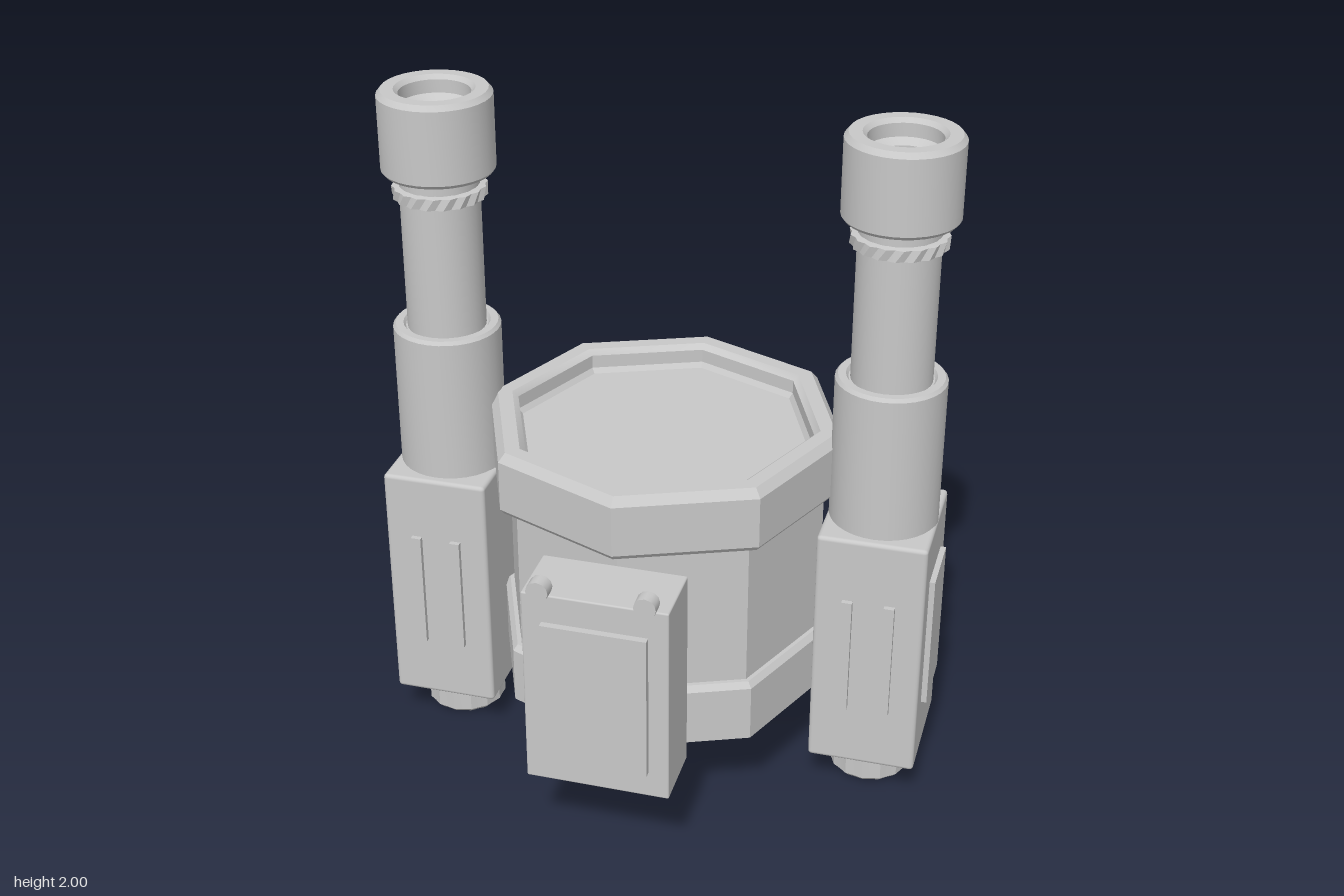
import * as THREE from 'three';
import { toCreasedNormals } from 'three/addons/utils/BufferGeometryUtils.js';
import { RoundedBoxGeometry } from 'three/addons/geometries/RoundedBoxGeometry.js';

const grey = new THREE.MeshStandardMaterial({ color: 0xc8c8c8 });

function add(parent, name, geometry, x = 0, y = 0, z = 0) {
  const mesh = new THREE.Mesh(geometry, grey);
  mesh.name = name;
  mesh.position.set(x, y, z);
  parent.add(mesh);
  return mesh;
}

// Turned solid from [radius, y] pairs, listed bottom centre, outside, top centre
function turned(profile, sides) {
  const points = profile.map(([r, y]) => new THREE.Vector2(r, y));
  return toCreasedNormals(new THREE.LatheGeometry(points, sides), Math.PI / 6);
}

// Turned solid with alternating flutes, optionally twisted with height
function fluted(profile, sides, depth, twist = 0) {
  const geometry = new THREE.LatheGeometry(profile.map(([r, y]) => new THREE.Vector2(r, y)), sides);
  const p = geometry.attributes.position;
  for (let i = 0; i < p.count; i++) {
    const step = Math.floor(i / profile.length);
    const r = Math.hypot(p.getX(i), p.getZ(i)) * (step % 2 ? 1 - depth : 1);
    const a = (step / sides) * Math.PI * 2 + twist * p.getY(i);
    p.setXYZ(i, Math.sin(a) * r, p.getY(i), Math.cos(a) * r);
  }
  return toCreasedNormals(geometry, Math.PI / 6);
}

// Box given by its lower and upper y
function block(w, y0, y1, d) {
  return new THREE.BoxGeometry(w, y1 - y0, d).translate(0, (y0 + y1) / 2, 0);
}

// Octagonal drum with a base band and a dished top rim
function createDrum() {
  const drum = new THREE.Group();
  drum.name = 'drum';
  add(drum, 'baseBand', turned([[0, 0.275], [0.5, 0.275], [0.5, 0.445], [0.485, 0.462], [0.46, 0.462]], 8));
  add(drum, 'drumWall', turned([[0.472, 0.45], [0.472, 0.92]], 8));
  add(drum, 'topRim', turned([
    [0.46, 0.91], [0.51, 0.91], [0.522, 0.925], [0.522, 1.075], [0.5, 1.1],
    [0.455, 1.1], [0.437, 1.085], [0.437, 1.045], [0.425, 1.03], [0, 1.03],
  ], 8));
  return drum;
}

// Telescopic post with housing, foot and open collar
function createPost() {
  const post = new THREE.Group();
  post.name = 'post';
  add(post, 'housing', new RoundedBoxGeometry(0.312, 0.75, 0.36, 2, 0.012), 0, 0.492, 0);
  add(post, 'foot', fluted([[0, 0], [0.105, 0], [0.12, 0.015], [0.12, 0.095], [0.11, 0.11], [0.09, 0.125]], 28, 0.035));
  add(post, 'sleeve', turned([[0.155, 0.86], [0.155, 1.295], [0.147, 1.305], [0.125, 1.305], [0.118, 1.295], [0.11, 1.295]], 32));
  add(post, 'piston', turned([[0.113, 1.29], [0.113, 1.78]], 32));
  add(post, 'knurledRing', fluted([[0.11, 1.688], [0.134, 1.692], [0.134, 1.724], [0.11, 1.728]], 36, 0.05, 5));
  add(post, 'collar', turned([
    [0.1, 1.764], [0.152, 1.764], [0.16, 1.774], [0.16, 1.985], [0.148, 2],
    [0.112, 2], [0.1, 1.988], [0.1, 1.95], [0.075, 1.935], [0.075, 1.9], [0, 1.9],
  ], 32));
  add(post, 'sidePlate', block(0.02, 0.31, 0.72, 0.2), 0.162, 0, 0);
  for (const x of [-0.06, 0.06]) {
    for (const z of [-0.185, 0.185]) add(post, 'ridge', block(0.03, 0.31, 0.672, 0.02), x, 0, z);
  }
  return post;
}

// Equipment box with a raised door and two knobs
function createEquipmentBox() {
  const box = new THREE.Group();
  box.name = 'equipmentBox';
  add(box, 'boxBody', new RoundedBoxGeometry(0.408, 0.605, 0.194, 2, 0.005), 0, 0.5775, 0.587);
  add(box, 'door', block(0.295, 0.357, 0.795, 0.03), 0, 0, 0.689);
  const knob = toCreasedNormals(new THREE.CylinderGeometry(0.031, 0.031, 0.042, 12).rotateX(Math.PI / 2), 0.6);
  for (const x of [-0.147, 0.147]) add(box, 'knob', knob, x, 0.906, 0.695);
  return box;
}

export function createModel() {
  const model = new THREE.Group();
  model.name = 'twinPostDrum';
  model.add(createDrum());
  for (const side of [1, -1]) {
    const turn = side > 0 ? 0 : Math.PI;
    const post = createPost();
    post.position.x = side * 0.645;
    post.rotation.y = turn;
    const box = createEquipmentBox();
    box.rotation.y = turn;
    model.add(post, box);
  }
  return model;
}
